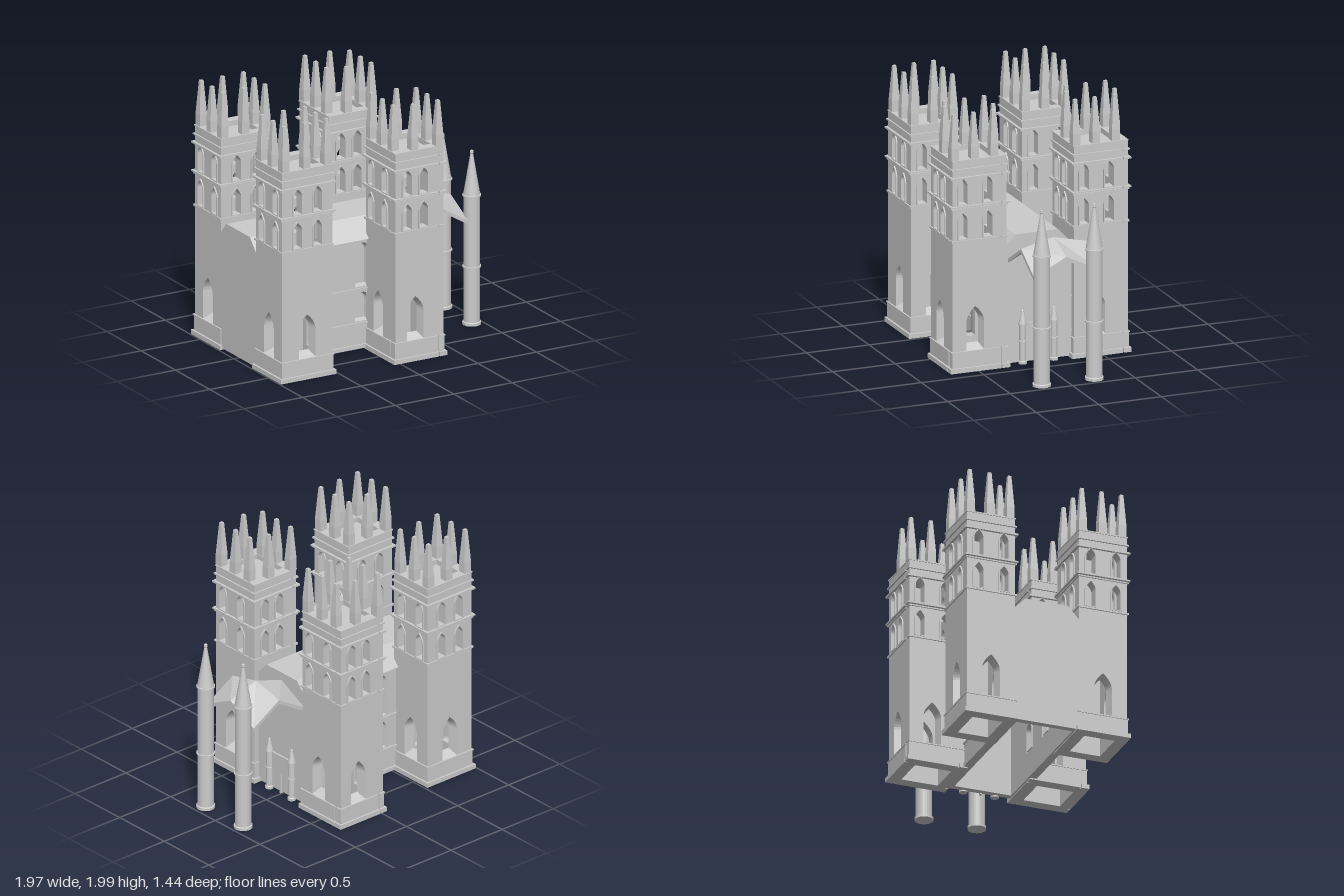
import * as THREE from 'three';

const mat = new THREE.MeshStandardMaterial({ color: 0xcccccc, flatShading: true });
const thin = new THREE.MeshStandardMaterial({ color: 0xcccccc, flatShading: true, side: THREE.DoubleSide });
const T = 0.07; // wall thickness

function add(parent, name, geo, x = 0, y = 0, z = 0, material = mat) {
  const m = new THREE.Mesh(geo, material);
  m.name = name;
  m.position.set(x, y, z);
  parent.add(m);
  return m;
}

// box given by its lower and upper limits
function slab(parent, name, x0, x1, y0, y1, z0, z1) {
  return add(parent, name, new THREE.BoxGeometry(x1 - x0, y1 - y0, z1 - z0),
    (x0 + x1) / 2, (y0 + y1) / 2, (z0 + z1) / 2);
}

// outline of an arched opening, round or pointed
function arch(cx, hw, y0, y1, pointed) {
  const n = 6, rise = pointed ? hw * 1.7 : hw, half = [];
  for (let i = 0; i <= n; i++) {
    const k = i / n, a = k * Math.PI / 2;
    half.push(pointed ? [hw * (1 - k ** 1.9), y1 - rise + rise * k]
      : [hw * Math.cos(a), y1 - rise + rise * Math.sin(a)]);
  }
  const right = [[hw, y0], ...half];
  const left = right.slice(0, -1).reverse().map(([x, y]) => [-x, y]);
  return [...right, ...left].map(([x, y]) => new THREE.Vector2(cx + x, y));
}

// sloping reveal joining an outer outline to a smaller inner one
function reveal(outer, inner, depth) {
  const pos = [], idx = [], n = outer.length;
  outer.forEach((p, i) => pos.push(p.x, p.y, 0, inner[i].x, inner[i].y, -depth));
  for (let i = 0; i < n; i++) {
    const a = 2 * i, b = 2 * ((i + 1) % n);
    idx.push(a, b, a + 1, b, b + 1, a + 1);
  }
  const g = new THREE.BufferGeometry();
  g.setAttribute('position', new THREE.Float32BufferAttribute(pos, 3));
  g.setIndex(idx);
  g.computeVertexNormals();
  return g;
}

// wall panel, outer face on z = 0, with splayed or framed openings
function panel(parent, name, x0, x1, y0, y1, windows, depth) {
  const shape = new THREE.Shape([[x0, y0], [x1, y0], [x1, y1], [x0, y1]].map(p => new THREE.Vector2(...p)));
  for (const w of windows) {
    const outline = arch(w.x, w.hw, w.y0, w.y1, w.pointed);
    shape.holes.push(new THREE.Path(outline));
    if (w.splay) {
      const inner = arch(w.x, w.hw - w.splay, w.y0 + w.splay * (w.pointed ? 2 : 0.7), w.y1 - w.splay * 1.3, w.pointed);
      add(parent, 'windowReveal', reveal(outline, inner, depth), 0, 0, 0, thin);
    } else {
      const frame = new THREE.Shape(arch(w.x, w.hw + 0.011, w.y0 - 0.008, w.y1 + 0.013, w.pointed));
      frame.holes.push(new THREE.Path(outline));
      add(parent, 'windowFrame', new THREE.ExtrudeGeometry(frame, { depth: 0.02, bevelEnabled: false }), 0, 0, -0.01);
    }
  }
  add(parent, name, new THREE.ExtrudeGeometry(shape, { depth, bevelEnabled: false }), 0, 0, -depth);
}

function pinnacle(parent, x, z) {
  const g = new THREE.Group();
  g.name = 'pinnacle';
  g.position.set(x, 1.65, z);
  add(g, 'pinnacleBase', new THREE.BoxGeometry(0.062, 0.09, 0.062), 0, 0.045, 0);
  const spire = new THREE.CylinderGeometry(0.013 * Math.SQRT2, 0.031 * Math.SQRT2, 0.26, 4);
  add(g, 'pinnacleSpire', spire.rotateY(Math.PI / 4), 0, 0.22, 0);
  parent.add(g);
}

// [bottom, top, projection] of each moulding
const BANDS = [[0.01, 0.045, 0.022], [0.045, 0.16, 0.006], [0.16, 0.17, 0.012], [1.015, 1.03, 0.01],
  [1.268, 1.278, 0.01], [1.284, 1.296, 0.02], [1.505, 1.52, 0.02], [1.572, 1.584, 0.012], [1.64, 1.65, 0.005]];

// square tower of four walls; pinwheel makes each wall overlap the next at a corner
function tower(parent, name, x0, x1, z0, z1, pinwheel) {
  const g = new THREE.Group(), W = x1 - x0, D = z1 - z0;
  g.name = name;
  g.position.set((x0 + x1) / 2, 0, (z0 + z1) / 2);
  for (let i = 0; i < 4; i++) {
    const side = i % 2 === 1, wall = new THREE.Group();
    const len = side ? (pinwheel ? D - T : D) : (pinwheel ? W - T : W - 2 * T);
    const shift = pinwheel ? -T / 2 : 0, dist = (side ? W : D) / 2;
    const gap = side ? 0.1 : pinwheel ? 0.07 : 0.085;
    wall.name = 'towerWall';
    wall.rotation.y = i * Math.PI / 2;
    wall.position.set(Math.sin(wall.rotation.y) * dist, 0, Math.cos(wall.rotation.y) * dist);
    const windows = [{ x: shift, hw: 0.07, y0: 0.17, y1: 0.51, pointed: true, splay: 0.02 }];
    for (const y0 of [1.04, 1.305]) for (const s of [-1, 1])
      windows.push({ x: shift + s * gap, hw: 0.035, y0, y1: y0 + 0.2, pointed: true });
    panel(wall, 'towerWallPanel', shift - len / 2, shift + len / 2, 0.01, 1.65, windows, T);
    const full = (side ? D : W) / 2;
    for (const [a, b, out] of BANDS)
      slab(wall, 'moulding', -full - out, (pinwheel ? full - T : full) + out, a, b, -0.04, out);
    // pinnacles along the parapet
    const holder = new THREE.Group();
    holder.name = 'pinnacles';
    for (const o of side ? [-0.157, 0, 0.157] : [0]) pinnacle(holder, shift + o, -T / 2);
    wall.add(holder);
    g.add(wall);
  }
  slab(g, 'towerRoof', -W / 2 + 0.05, W / 2 - 0.05, 1.59, 1.61, -D / 2 + 0.05, D / 2 - 0.05);
  parent.add(g);
}

function nave(parent) {
  const g = new THREE.Group();
  g.name = 'nave';
  // side walls with two tiers of round windows
  for (const s of [1, -1]) {
    const wall = new THREE.Group(), windows = [];
    wall.name = 'naveSideWall';
    wall.position.z = 0.01 + s * 0.275;
    if (s < 0) wall.rotation.y = Math.PI;
    for (const x of [-0.385, -0.07]) for (const [y0, y1] of [[0.23, 0.455], [0.5, 0.84]])
      windows.push({ x: s * x, hw: 0.06, y0, y1, splay: 0.014 });
    const [a, b] = s > 0 ? [-0.97, 0.34] : [-0.34, 0.97];
    panel(wall, 'naveWallPanel', a, b, 0.02, 0.87, windows, 0.05);
    for (const [y0, y1, out] of [[0.02, 0.05, 0.015], [0.21, 0.222, 0.012], [0.478, 0.49, 0.012], [0.86, 0.872, 0.015]])
      slab(wall, 'naveMoulding', a, b, y0, y1, -0.02, out);
    g.add(wall);
  }
  slab(g, 'naveEndWall', -0.97, -0.92, 0.02, 0.87, -0.26, 0.28);
  slab(g, 'naveEndWall', 0.29, 0.34, 0.02, 0.87, -0.26, 0.28);
  // roof with flat top and sloping edges
  const section = new THREE.Shape([[-0.31, 0.87], [0.29, 0.87], [0.16, 1.01], [-0.18, 1.01]].map(p => new THREE.Vector2(...p)));
  const roof = new THREE.ExtrudeGeometry(section, { depth: 1.31, bevelEnabled: false });
  add(g, 'naveRoof', roof.rotateY(Math.PI / 2), -0.97, 0, 0);
  parent.add(g);
}

function porch(parent) {
  const g = new THREE.Group();
  g.name = 'porch';
  // folded canopy falling from its centre to all four edges
  const canopy = new THREE.BoxGeometry(0.5, 0.03, 0.52, 2, 1, 2), p = canopy.attributes.position;
  for (let i = 0; i < p.count; i++) {
    const u = Math.abs(p.getX(i)) / 0.25, v = Math.abs(p.getZ(i)) / 0.26;
    p.setY(i, p.getY(i) - 0.08 * u - 0.06 * v - 0.07 * u * v);
  }
  canopy.computeVertexNormals();
  add(g, 'canopy', canopy, 0.61, 1.03, -0.01);
  // free-standing round columns with conical caps
  for (const z of [0.21, -0.21]) {
    const c = new THREE.Group();
    c.name = 'column';
    c.position.set(0.91, 0, z);
    const profile = [[0, 0.01], [0.07, 0.01], [0.07, 0.03], [0.061, 0.035], [0.061, 0.455], [0.07, 0.457], [0.07, 0.468],
      [0.061, 0.47], [0.061, 1.01], [0.07, 1.012], [0.07, 1.023], [0.063, 1.025], [0.011, 1.34], [0.014, 1.345], [0.012, 1.365], [0, 1.37]];
    add(c, 'columnShaft', new THREE.LatheGeometry(profile.map(q => new THREE.Vector2(...q)), 24));
    g.add(c);
  }
  // small pinnacled posts and door surround
  for (const z of [0.13, -0.12]) {
    const post = [[0, 0.01], [0.032, 0.01], [0.032, 0.03], [0.026, 0.035], [0.026, 0.18], [0.031, 0.182], [0.031, 0.19],
      [0.026, 0.192], [0.026, 0.31], [0.031, 0.312], [0.031, 0.322], [0.008, 0.42], [0, 0.43]];
    add(g, 'doorPost', new THREE.LatheGeometry(post.map(q => new THREE.Vector2(...q)), 12), 0.355, 0, z);
  }
  slab(g, 'doorLintel', 0.33, 0.355, 0.18, 0.32, -0.14, 0.15);
  slab(g, 'doorMullion', 0.33, 0.355, 0.01, 0.18, 0.005, 0.02);
  parent.add(g);
}

export function createModel() {
  const model = new THREE.Group();
  model.name = 'cathedral';
  tower(model, 'leftFarFrontTower', -0.97, -0.54, 0.27, 0.65, false);
  tower(model, 'leftFarBackTower', -0.97, -0.54, -0.62, -0.24, false);
  tower(model, 'frontTower', -0.03, 0.38, 0.27, 0.7, true);
  tower(model, 'backTower', -0.03, 0.38, -0.7, -0.27, true);
  nave(model);
  porch(model);
  return model;
}
